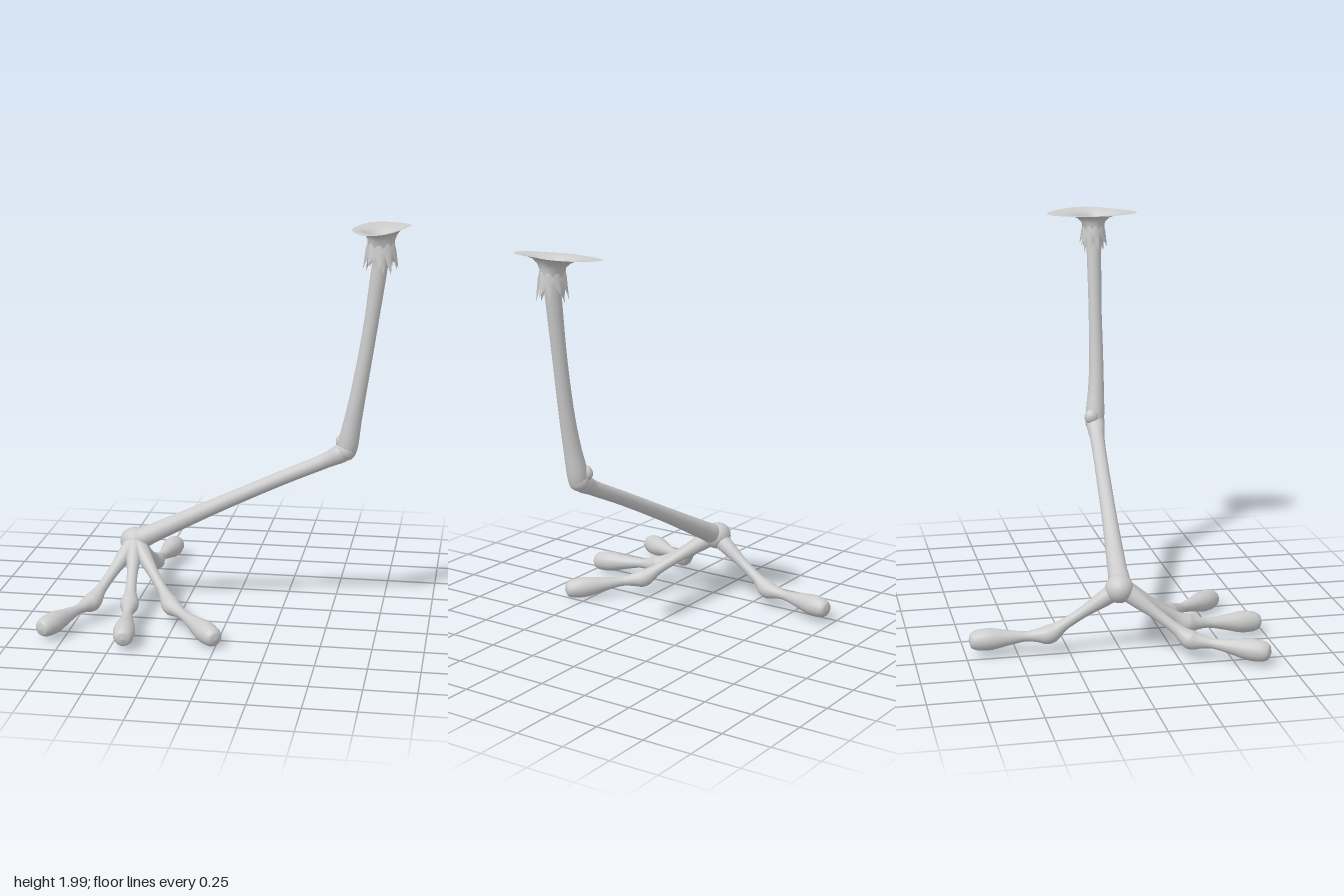
import * as THREE from 'three';

const material = new THREE.MeshStandardMaterial({ color: 0xcccccc });
const thinMaterial = new THREE.MeshStandardMaterial({ color: 0xcccccc, side: THREE.DoubleSide });

// Joins equal rings of points into a smooth skin.
function loft(name, rings, mat) {
  const n = rings[0].length, index = [];
  for (let i = 0; i < rings.length - 1; i++) {
    for (let j = 0; j < n; j++) {
      const a = i * n + j, b = i * n + (j + 1) % n;
      index.push(a, b, a + n, b, b + n, a + n);
    }
  }
  const geometry = new THREE.BufferGeometry().setFromPoints(rings.flat());
  geometry.setIndex(index);
  geometry.computeVertexNormals();
  const mesh = new THREE.Mesh(geometry, mat);
  mesh.name = name;
  return mesh;
}

// Round limb through stations [x, y, z, radius].
function limb(name, stations, sides = 16, steps = 6) {
  const path = new THREE.CatmullRomCurve3(stations.map(s => new THREE.Vector3(s[0], s[1], s[2])));
  const width = new THREE.CatmullRomCurve3(stations.map((s, i) => new THREE.Vector3(i * 0.1, s[3], 0)));
  const count = (stations.length - 1) * steps, rings = [];
  let side = null;
  for (let i = 0; i <= count; i++) {
    const t = i / count, c = path.getPoint(t), tan = path.getTangent(t);
    const r = Math.max(0.0005, width.getPoint(t).y);
    if (!side) side = new THREE.Vector3(0.31, 0.2, 0.93).cross(tan);
    side.addScaledVector(tan, -side.dot(tan)).normalize();
    const up = tan.clone().cross(side);
    rings.push(Array.from({ length: sides }, (_, j) => {
      const a = j / sides * Math.PI * 2;
      return c.clone().addScaledVector(side, Math.cos(a) * r).addScaledVector(up, Math.sin(a) * r);
    }));
  }
  return loft(name, rings, material);
}

function ball(name, position, scale) {
  const mesh = new THREE.Mesh(new THREE.SphereGeometry(1, 18, 12), material);
  mesh.name = name;
  mesh.position.set(...position);
  mesh.scale.set(...scale);
  return mesh;
}

// Toe: thin bone from the ankle, knuckle, thin neck, then a swollen pad.
function toe(name, knuckle, tip) {
  const root = new THREE.Vector3(-0.515, 0.335, 0);
  const k = new THREE.Vector3(...knuckle), e = new THREE.Vector3(...tip);
  const at = (a, b, t, r, dy = 0) => {
    const p = a.clone().lerp(b, t);
    return [p.x, p.y + dy, p.z, r];
  };
  return limb(name, [
    at(root, k, 0, 0.05), at(root, k, 0.25, 0.04), at(root, k, 0.52, 0.028),
    at(root, k, 0.8, 0.029), at(root, k, 0.99, 0.047), at(k, e, 0.13, 0.034),
    at(k, e, 0.28, 0.025), at(k, e, 0.5, 0.037), at(k, e, 0.73, 0.053),
    at(k, e, 0.9, 0.049), at(k, e, 0.975, 0.034), at(k, e, 1, 0),
  ]);
}

// Torn sleeve of points hanging round the top of the leg.
function fringe(name, count, topRadius, bottomRadius, topY, tipY, phase) {
  const n = count * 2, rings = [[], [], []];
  for (let j = 0; j < n; j++) {
    const a = j / n * Math.PI * 2 + phase, tip = j % 2 === 0;
    const wobble = 0.025 * Math.sin(j * 2.3 + phase);
    const add = (ring, r, y) => ring.push(new THREE.Vector3(
      0.725 + Math.cos(a) * r, y, 0.11 + Math.sin(a) * r * 0.86));
    add(rings[0], topRadius, topY);
    add(rings[1], (topRadius + bottomRadius) / 2 - (tip ? 0 : 0.01), topY - 0.045);
    add(rings[2], tip ? bottomRadius : bottomRadius - 0.022, tip ? tipY + wobble : topY - 0.07);
  }
  return loft(name, rings, thinMaterial);
}

// Irregular flared skin, open into the sleeve.
function flare() {
  const outline = [
    [0.865, 0.04], [0.85, 0.13], [0.80, 0.24], [0.73, 0.33], [0.66, 0.33], [0.62, 0.25],
    [0.59, 0.15], [0.585, 0.05], [0.61, -0.04], [0.65, -0.12], [0.70, -0.14], [0.76, -0.12], [0.83, -0.05],
  ];
  const rim = new THREE.CatmullRomCurve3(outline.map(([x, z]) => new THREE.Vector3(x, 1.99, z)), true);
  const levels = [[1, 1.99], [0.7, 1.987], [0.4, 1.978], [0.18, 1.96], [0.04, 1.935], [0, 1.89]];
  const n = 40;
  const rings = levels.map(([t, y]) => Array.from({ length: n }, (_, j) => {
    const p = rim.getPoint(j / n);
    const a = Math.atan2(p.z - 0.1, p.x - 0.72);
    const neck = new THREE.Vector3(0.725 + Math.cos(a) * 0.063, y, 0.11 + Math.sin(a) * 0.054);
    const q = neck.lerp(p, t);
    q.y = y + t * (0.01 * Math.cos(a) - 0.004 * Math.abs(Math.sin(a)));
    return q;
  }));
  return loft('flaredSkin', rings, thinMaterial);
}

export function createModel() {
  const model = new THREE.Group();
  model.name = 'birdLeg';

  // Shin, knee and thigh
  model.add(limb('shin', [
    [-0.54, 0.325, 0, 0], [-0.5, 0.34, 0, 0.05], [-0.4, 0.39, 0.005, 0.048],
    [-0.1, 0.545, 0.03, 0.039], [0.25, 0.72, 0.06, 0.036], [0.47, 0.825, 0.08, 0.038],
    [0.56, 0.875, 0.088, 0.046], [0.6, 0.895, 0.09, 0],
  ]));
  model.add(limb('thigh', [
    [0.575, 0.835, 0.088, 0], [0.575, 0.86, 0.088, 0.038], [0.582, 0.92, 0.09, 0.05],
    [0.605, 1.05, 0.1, 0.043], [0.632, 1.2, 0.107, 0.038], [0.68, 1.5, 0.11, 0.035],
    [0.722, 1.82, 0.112, 0.039], [0.733, 1.9, 0.112, 0.035], [0.737, 1.93, 0.112, 0],
  ]));
  model.add(ball('kneeJoint', [0.572, 0.885, 0.088], [0.05, 0.052, 0.052]));
  model.add(ball('kneeSpur', [0.55, 0.92, 0.065], [0.033, 0.04, 0.038]));

  // Foot
  model.add(ball('ankle', [-0.52, 0.33, -0.01], [0.075, 0.07, 0.07]));
  model.add(toe('outerToe', [-0.675, 0.1, 0.31], [-0.85, 0.075, 0.66]));
  model.add(toe('middleToe', [-0.475, 0.11, 0.34], [-0.425, 0.075, 0.73]));
  model.add(toe('innerToe', [-0.27, 0.1, 0.3], [0.01, 0.055, 0.61]));
  model.add(toe('backToe', [-0.48, 0.105, -0.35], [-0.435, 0.085, -0.735]));

  // Torn top
  model.add(flare());
  model.add(fringe('outerFringe', 9, 0.064, 0.086, 1.93, 1.8, 0.2));
  model.add(fringe('innerFringe', 8, 0.06, 0.066, 1.91, 1.8, 0.5));
  return model;
}
